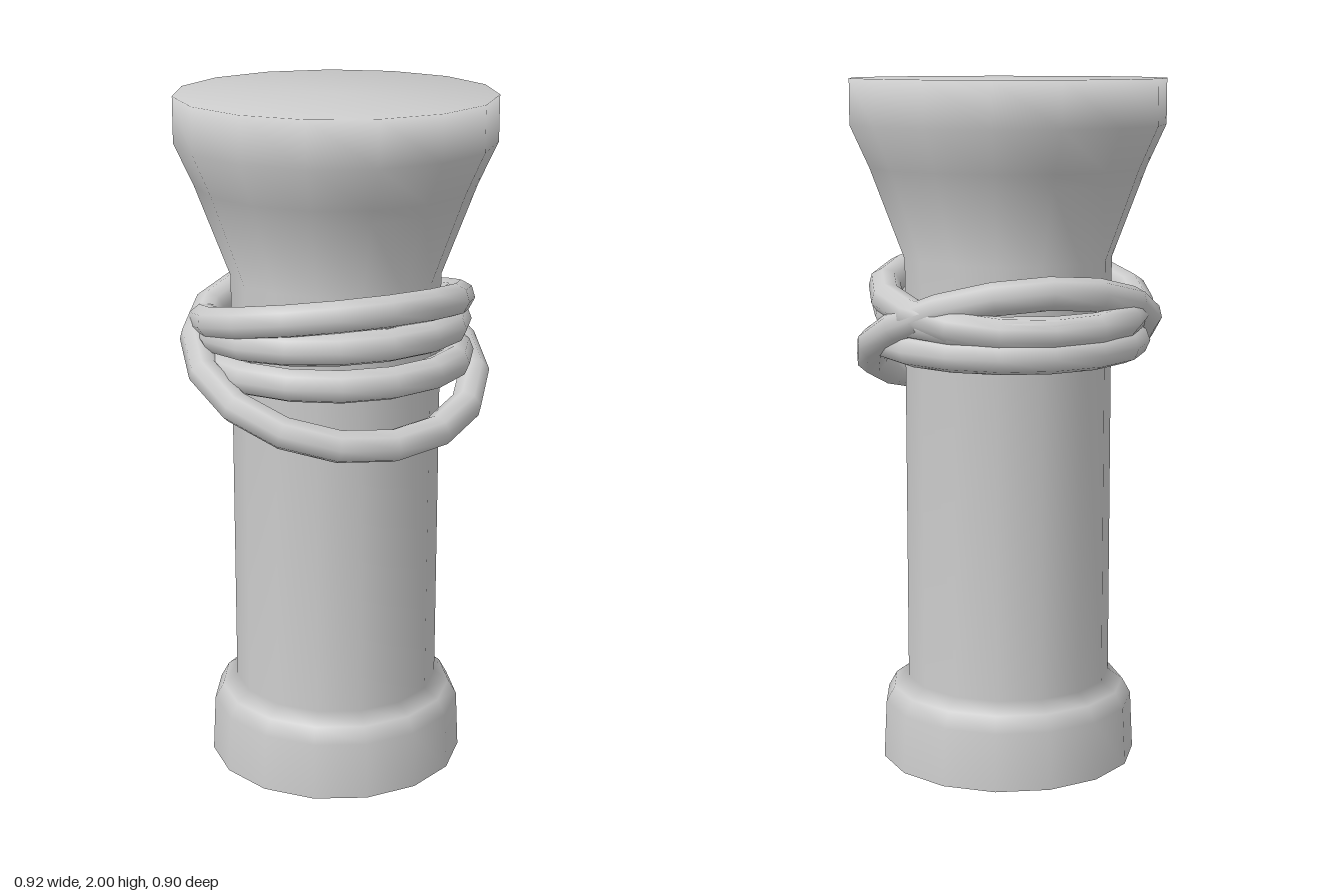
import * as THREE from 'three';

const material = new THREE.MeshStandardMaterial({ color: 0xcccccc, side: THREE.DoubleSide });

// Closed rope loop: an ellipse tilted so that its front and back heights differ
function ropeLoop(name, { cx, rx, zFront, zBack, yFront, yBack }) {
  const points = [];
  const count = 16;
  for (let i = 0; i < count; i++) {
    const a = (i / count) * Math.PI * 2;
    const t = (1 + Math.cos(a)) / 2; // 1 at the front, 0 at the back
    points.push(new THREE.Vector3(
      cx + rx * Math.sin(a),
      THREE.MathUtils.lerp(yBack, yFront, t),
      THREE.MathUtils.lerp(zBack, zFront, t)
    ));
  }
  const path = new THREE.CatmullRomCurve3(points, true);
  const mesh = new THREE.Mesh(new THREE.TubeGeometry(path, count, 0.047, 8, true), material);
  mesh.name = name;
  return mesh;
}

export function createModel() {
  const group = new THREE.Group();
  group.name = 'mooringPost';

  // Post: open foot, straight shaft, flared head and flat top, 15 sided
  const profile = [
    [0.378, 0], [0.37, 0.17], [0.345, 0.215], [0.302, 0.245],
    [0.302, 1.49], [0.385, 1.71], [0.4, 1.75], [0.455, 1.87],
    [0.455, 2], [0, 2],
  ].map(([r, y]) => new THREE.Vector2(r, y));
  const post = new THREE.Mesh(new THREE.LatheGeometry(profile, 15, Math.PI), material);
  post.name = 'post';
  post.position.set(0.0075, 0, 0.005);
  group.add(post);

  // Rope wound around the shaft, the lowest loop hanging loose at the front
  const rope = new THREE.Group();
  rope.name = 'rope';
  rope.add(
    ropeLoop('upperLoop', { cx: 0, rx: 0.372, zFront: 0.345, zBack: -0.355, yFront: 1.455, yBack: 1.31 }),
    ropeLoop('middleLoop', { cx: 0, rx: 0.36, zFront: 0.345, zBack: -0.35, yFront: 1.36, yBack: 1.315 }),
    ropeLoop('lowerLoop', { cx: 0, rx: 0.362, zFront: 0.365, zBack: -0.355, yFront: 1.258, yBack: 1.248 }),
    ropeLoop('hangingLoop', { cx: -0.005, rx: 0.41, zFront: 0.39, zBack: -0.322, yFront: 1.085, yBack: 1.42 })
  );
  group.add(rope);
  return group;
}
